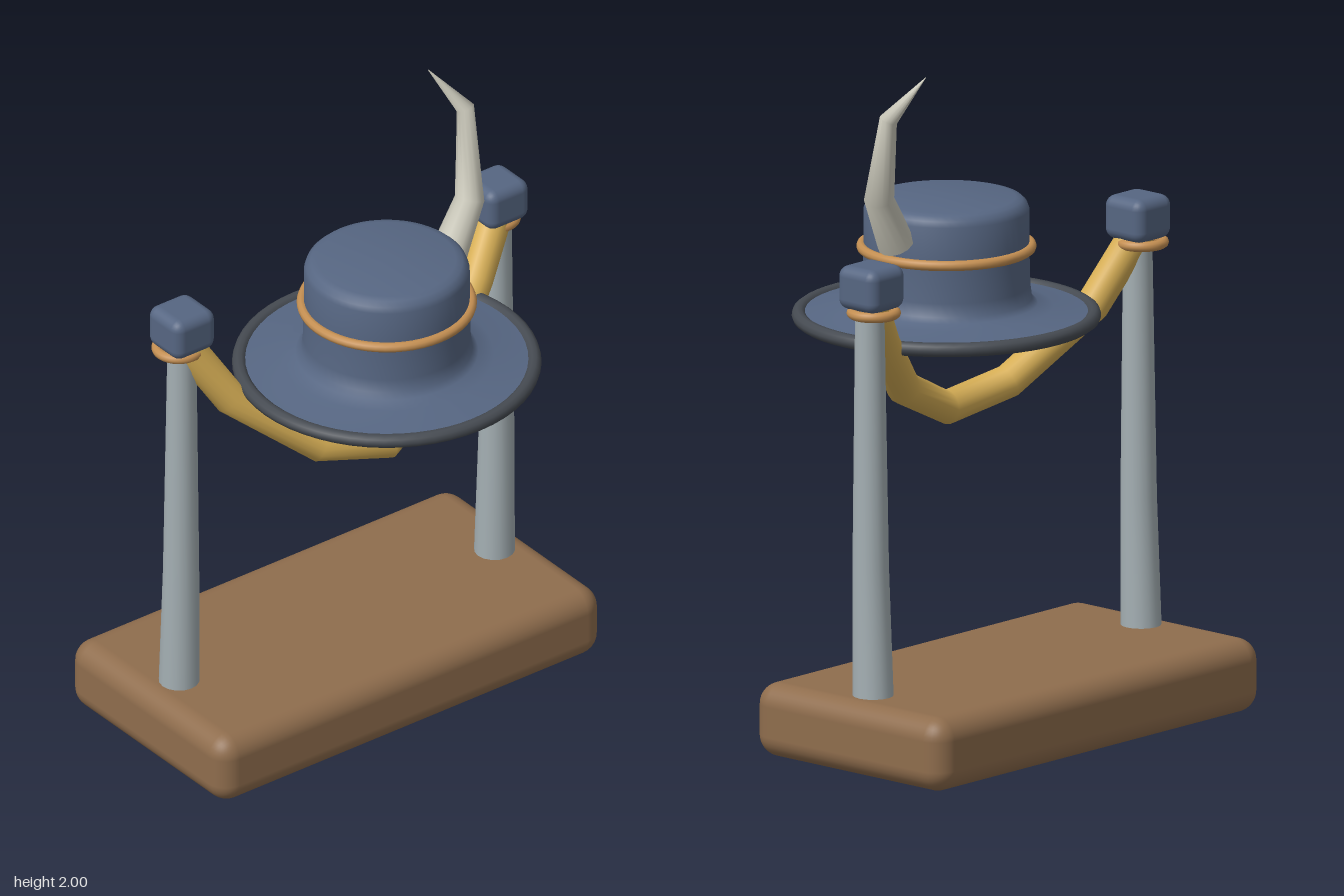
import * as THREE from 'three';
import { toCreasedNormals } from 'three/addons/utils/BufferGeometryUtils.js';
import { RoundedBoxGeometry } from 'three/addons/geometries/RoundedBoxGeometry.js';

const paint = (name, color) => {
  const m = new THREE.MeshStandardMaterial({ color });
  m.name = name;
  return m;
};

// Closed round tube through [x, y, z, radius] stations
function loft(stations, sides = 16) {
  const pts = stations.map(s => new THREE.Vector3(s[0], s[1], s[2]));
  const last = pts.length - 1;
  const rings = stations.map((s, i) => {
    const inward = pts[i].clone().sub(pts[Math.max(i - 1, 0)]).normalize();
    const outward = pts[Math.min(i + 1, last)].clone().sub(pts[i]).normalize();
    const t = inward.add(outward).normalize();
    const u = new THREE.Vector3(0, 0, 1).cross(t).normalize();
    const v = t.clone().cross(u);
    return { p: pts[i], u, v, r: s[3] };
  });
  rings.unshift({ ...rings[0], r: 0 });
  rings.push({ ...rings[rings.length - 1], r: 0 });
  const pos = [], index = [];
  rings.forEach(({ p, u, v, r }, i) => {
    for (let j = 0; j < sides; j++) {
      const a = (j / sides) * Math.PI * 2;
      const q = p.clone().addScaledVector(u, r * Math.cos(a)).addScaledVector(v, r * Math.sin(a));
      pos.push(q.x, q.y, q.z);
      if (i === rings.length - 1) continue;
      const A = i * sides + j, B = i * sides + (j + 1) % sides;
      index.push(A, B, A + sides, B, B + sides, A + sides);
    }
  });
  const g = new THREE.BufferGeometry();
  g.setAttribute('position', new THREE.Float32BufferAttribute(pos, 3));
  g.setIndex(index);
  return toCreasedNormals(g, 0.95);
}

export function createModel() {
  const model = new THREE.Group();
  model.name = 'hatStand';
  const felt = paint('blue felt', 0x566682);
  const wood = paint('brown wood', 0x8f6d4d);
  const metal = paint('pale grey metal', 0xa4afb3);
  const gold = paint('yellow cloth', 0xd6ae55);
  const copper = paint('copper trim', 0xc48f52);
  const dark = paint('dark edging', 0x464b52);
  const horn = paint('ivory', 0xcac8ba);

  const add = (name, geometry, material, x = 0, y = 0, z = 0, parent = model) => {
    const m = new THREE.Mesh(geometry, material);
    m.name = name;
    m.position.set(x, y, z);
    parent.add(m);
    return m;
  };
  const ring = (name, radius, tube, material, x, y, z, parent) => {
    const g = new THREE.TorusGeometry(radius, tube, 10, 56).rotateX(Math.PI / 2);
    return add(name, g, material, x, y, z, parent);
  };

  // Base slab
  add('base', new RoundedBoxGeometry(1.4, 0.22, 0.74, 4, 0.065), wood, 0, 0.11, -0.16);

  // Posts with collars and knobs
  for (const [side, s] of [['left', 1], ['right', -1]]) {
    const x = 0.575 * s;
    add(side + 'Post', loft([
      [x, 0.19, -0.157, 0.06], [x, 0.6, -0.147, 0.053], [x, 1.4, -0.143, 0.042],
    ]), metal);
    ring(side + 'Collar', 0.064, 0.015, copper, x, 1.36, -0.159);
    add(side + 'Knob', new RoundedBoxGeometry(0.15, 0.13, 0.15, 3, 0.032), felt, 0.572 * s, 1.435, -0.147);
  }

  // Sagging drape between the posts
  add('drape', loft([
    [-0.575, 1.39, -0.145, 0.05], [-0.45, 1.18, -0.08, 0.05], [-0.21, 0.98, 0.03, 0.05],
    [0, 0.932, 0.08, 0.05], [0.245, 1.045, 0.025, 0.05], [0.45, 1.235, -0.08, 0.05],
    [0.575, 1.39, -0.145, 0.05],
  ]), gold);

  // Hat: crown and brim in one turned profile
  const hat = new THREE.Group();
  hat.name = 'hat';
  hat.position.z = 0.081;
  model.add(hat);
  const profile = [
    [0, 1.17], [0.22, 1.17], [0.36, 1.183], [0.43, 1.2], [0.43, 1.218], [0.37, 1.225],
    [0.31, 1.236], [0.265, 1.245], [0.248, 1.26], [0.243, 1.3], [0.24, 1.42], [0.24, 1.525],
    [0.234, 1.542], [0.22, 1.555], [0.2, 1.56], [0, 1.562],
  ].map(([r, y]) => new THREE.Vector2(r, y));
  add('crownAndBrim', toCreasedNormals(new THREE.LatheGeometry(profile, 56), 0.8), felt, 0, 0, 0, hat);
  ring('brimEdging', 0.427, 0.021, dark, 0, 1.209, 0, hat);
  ring('hatBand', 0.246, 0.015, copper, 0, 1.414, 0, hat);

  // Curved horn rising from the hat band
  add('horn', loft([
    [0.245, 1.47, 0.055, 0.055], [0.332, 1.62, 0.042, 0.044],
    [0.374, 1.876, -0.033, 0.027], [0.295, 2, -0.107, 0.001],
  ], 14), horn);

  return model;
}
